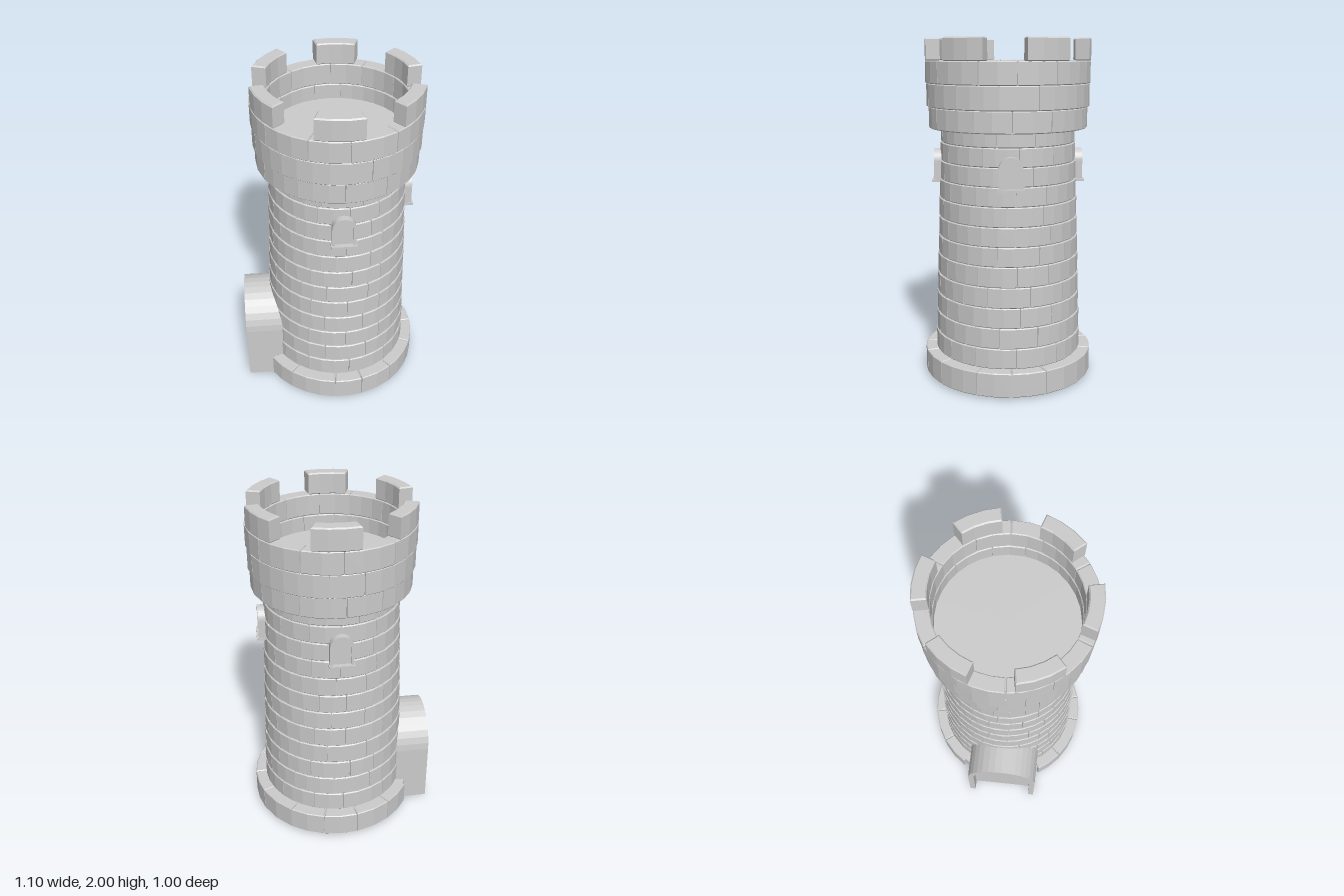
import * as THREE from 'three';
import { mergeGeometries } from 'three/addons/utils/BufferGeometryUtils.js';

const stone = new THREE.MeshStandardMaterial({ color: 0xcccccc, flatShading: true });
const DEG = Math.PI / 180;

let seed = 7;
function rand() {
  seed = (seed * 16807) % 2147483647;
  return seed / 2147483647;
}

function add(parent, name, geometry) {
  const mesh = new THREE.Mesh(geometry, stone);
  mesh.name = name;
  parent.add(mesh);
  return mesh;
}

// One bevelled curved block; angles run from +z toward +x
function brick(a0, a1, rIn, rOut, y0, y1, bevel = 0.005) {
  const n = Math.max(2, Math.round((a1 - a0) / 0.2));
  const pts = [];
  const arc = (r, from, to, gap) => {
    for (let i = 0; i <= n; i++) {
      const a = THREE.MathUtils.lerp(from + gap, to - gap, i / n);
      pts.push(new THREE.Vector2(Math.sin(a) * r, -Math.cos(a) * r));
    }
  };
  arc(rOut, a0, a1, 0.004);
  arc(rIn, a1, a0, -0.004);
  const geo = new THREE.ExtrudeGeometry(new THREE.Shape(pts), {
    depth: y1 - y0 - 2 * bevel, bevelEnabled: true, bevelSegments: 1,
    bevelSize: bevel, bevelThickness: bevel, bevelOffset: -bevel,
  });
  return geo.rotateX(-Math.PI / 2).translate(0, y0 + bevel, 0);
}

// A course of blocks with uneven joints, from angle start over the given sweep
function course(count, start, sweep, rIn, rOut, y0, y1) {
  const step = sweep / count;
  const joints = [];
  for (let i = 0; i <= count; i++) {
    joints.push(start + step * (i + (i > 0 && i < count ? (rand() - 0.5) * 0.35 : 0)));
  }
  const bricks = [];
  for (let i = 0; i < count; i++) bricks.push(brick(joints[i], joints[i + 1], rIn, rOut, y0, y1));
  return mergeGeometries(bricks);
}

// Round-topped outline standing on y = bottom
function arch(PathType, halfWidth, spring, bottom) {
  const p = new PathType();
  p.moveTo(-halfWidth, bottom);
  p.lineTo(halfWidth, bottom);
  p.lineTo(halfWidth, spring);
  p.absarc(0, spring, halfWidth, 0, Math.PI, false);
  p.lineTo(-halfWidth, bottom);
  return p;
}

// U-shaped surround, open at the foot
function surround(halfWidth, thickness, spring, bottom, z0, z1, segments) {
  const inner = halfWidth - thickness;
  const s = new THREE.Shape();
  s.moveTo(inner, bottom);
  s.lineTo(halfWidth, bottom);
  s.lineTo(halfWidth, spring);
  s.absarc(0, spring, halfWidth, 0, Math.PI, false);
  s.lineTo(-halfWidth, bottom);
  s.lineTo(-inner, bottom);
  s.lineTo(-inner, spring);
  s.absarc(0, spring, inner, Math.PI, 0, true);
  s.lineTo(inner, bottom);
  return new THREE.ExtrudeGeometry(s, { depth: z1 - z0, bevelEnabled: false, curveSegments: segments })
    .translate(0, 0, z0);
}

function panel(halfWidth, spring, bottom, z0, z1, segments) {
  return new THREE.ExtrudeGeometry(arch(THREE.Shape, halfWidth, spring, bottom),
    { depth: z1 - z0, bevelEnabled: false, curveSegments: segments }).translate(0, 0, z0);
}

function createWindow(angle) {
  const g = new THREE.Group();
  g.name = 'window';
  add(g, 'windowFrame', surround(0.067, 0.016, 1.298, 1.185, 0.34, 0.434, 10));
  add(g, 'windowPane', panel(0.055, 1.298, 1.185, 0.34, 0.418, 10));
  add(g, 'windowSill', new THREE.BoxGeometry(0.145, 0.014, 0.105).translate(0, 1.182, 0.393));
  g.rotation.y = angle;
  return g;
}

export function createModel() {
  const model = new THREE.Group();
  model.name = 'tower';
  const tower = new THREE.Group();
  tower.name = 'stonework';
  tower.position.x = 0.045;
  tower.rotation.y = -0.057;
  model.add(tower);

  // Mortar core: closed foot, tapered shaft and the roof floor on top
  const core = [[0, 0.015], [0.485, 0.015], [0.485, 0.145], [0.424, 0.15], [0.379, 1.5],
    [0.405, 1.505], [0.405, 1.655], [0, 1.655]].map(([x, y]) => new THREE.Vector2(x, y));
  add(tower, 'mortarCore', new THREE.LatheGeometry(core, 36));

  // Plinth ring, broken where the doorway stands
  add(tower, 'plinth', course(12, -59 * DEG, 298 * DEG, 0.38, 0.503, 0.015, 0.157));

  // Shaft courses, narrowing toward the top
  const levels = [0.157, 0.275, 0.395, 0.512, 0.63, 0.748, 0.86, 0.972, 1.085, 1.195, 1.303, 1.41, 1.497];
  for (let i = 0; i < levels.length - 1; i++) {
    const r = THREE.MathUtils.lerp(0.437, 0.392, i / (levels.length - 2));
    add(tower, 'shaftCourse', course(12, (i % 2) * 15 * DEG + rand() * 0.15, Math.PI * 2,
      r - 0.06, r, levels[i], levels[i + 1]));
  }

  // Overhanging crown courses
  const crown = [[1.492, 1.614, 0.462, 0.36], [1.614, 1.747, 0.473, 0.392], [1.747, 1.874, 0.478, 0.395]];
  crown.forEach(([y0, y1, r, rIn], i) => {
    add(tower, 'crownCourse', course(12, i * 17 * DEG, Math.PI * 2, rIn, r, y0, y1));
  });
  // Mortar behind the parapet joints
  const ring = [[0.402, 1.6], [0.466, 1.62], [0.466, 1.866], [0.402, 1.866], [0.402, 1.6]]
    .map(([x, y]) => new THREE.Vector2(x, y));
  add(tower, 'crownMortar', new THREE.LatheGeometry(ring, 36));

  // Six battlement blocks
  for (let i = 0; i < 6; i++) {
    const a = (-4 + i * 60) * DEG, half = 16 * DEG;
    add(tower, 'battlement', brick(a - half, a + half, 0.397, 0.478, 1.872, 2, 0.007));
  }

  // Windows on the front, left and back
  for (const angle of [0, Math.PI / 2, Math.PI]) tower.add(createWindow(angle));

  // Doorway projecting from the -x side
  const door = new THREE.Group();
  door.name = 'doorway';
  add(door, 'doorSurround', surround(0.221, 0.036, 0.375, 0, 0.25, 0.585, 8));
  add(door, 'doorPanel', panel(0.187, 0.375, 0.02, 0.4, 0.53, 8));
  door.position.z = 0.018;
  door.rotation.y = -Math.PI / 2;
  tower.add(door);

  return model;
}
